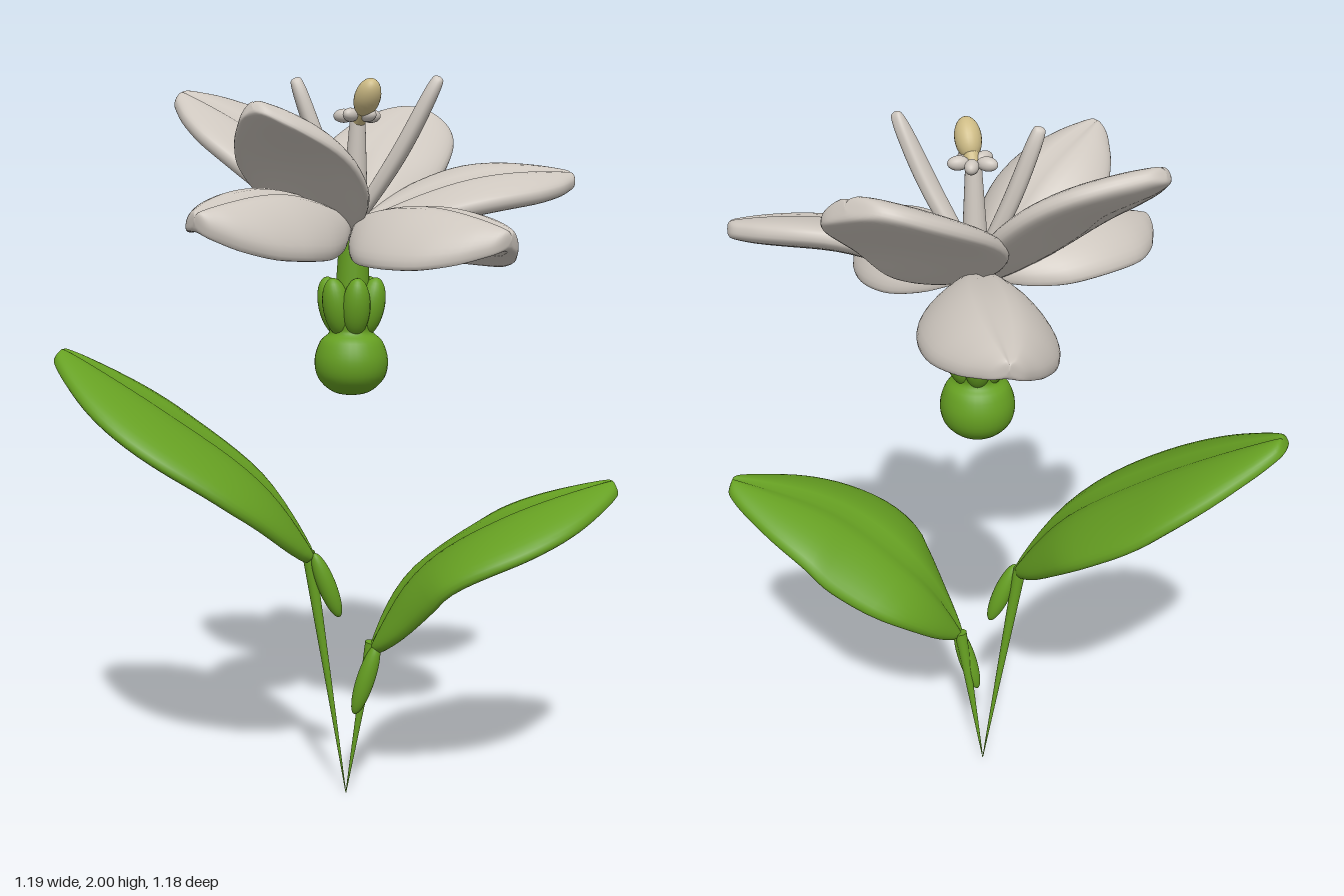
import * as THREE from 'three';

const V = (x, y, z) => new THREE.Vector3(x, y, z);
const UP = V(0, 1, 0);

// Closed, pillowy blade swept along a path; cup bends the edges up or down, groove cuts the midrib
function bladeGeometry(points, { width, thick, cup = 0, roll = 0, groove = 0.5, profile }) {
  const path = new THREE.CatmullRomCurve3(points);
  const shape = new THREE.SplineCurve(profile.map(([u, w]) => new THREE.Vector2(u, w)));
  const rows = 36, cols = 40, pos = [], idx = [];
  for (let i = 0; i <= rows; i++) {
    const { x: u, y: raw } = shape.getPoint(i / rows);
    const k = Math.max(raw, 0), c = THREE.MathUtils.clamp(u, 0, 1);
    const p = path.getPointAt(c), t = path.getTangentAt(c);
    const side = t.clone().cross(UP).normalize().applyAxisAngle(t, roll);
    const up = side.clone().cross(t);
    for (let j = 0; j < cols; j++) {
      const a = (j / cols) * Math.PI * 2, s = Math.cos(a), h = Math.sin(a);
      const dent = h > 0 ? 1 - groove * Math.exp(-((s / 0.13) ** 2)) : 1;
      const full = Math.sign(h) * Math.abs(h) ** 0.75;
      const y = full * dent * thick * k ** 0.4 + cup * s * s * k;
      const v = p.clone().addScaledVector(side, s * width * k).addScaledVector(up, y);
      pos.push(v.x, v.y, v.z);
    }
  }
  for (let i = 0; i < rows; i++) for (let j = 0; j < cols; j++) {
    const a = i * cols + j, b = i * cols + (j + 1) % cols;
    idx.push(a, a + cols, b, b, a + cols, b + cols);
  }
  const g = new THREE.BufferGeometry();
  g.setAttribute('position', new THREE.Float32BufferAttribute(pos, 3));
  g.setIndex(idx);
  g.computeVertexNormals();
  return g;
}

export function createModel() {
  const model = new THREE.Group();
  model.name = 'flower';
  const mat = (name, color) => Object.assign(new THREE.MeshStandardMaterial({ color }), { name });
  const white = mat('petal white', 0xcdc6be);
  const green = mat('leaf green', 0x66a022);
  const cream = mat('stigma cream', 0xcdbb85);

  const add = (name, geometry, material) => {
    const m = new THREE.Mesh(geometry, material);
    m.name = name;
    model.add(m);
    return m;
  };
  // Cylinder or cone between two points
  const rod = (name, a, b, ra, rb, material) => {
    const m = add(name, new THREE.CylinderGeometry(rb, ra, a.distanceTo(b), 20), material);
    m.position.copy(a).lerp(b, 0.5);
    m.quaternion.setFromUnitVectors(UP, b.clone().sub(a).normalize());
  };
  // Ellipsoid stretched between two points
  const bead = (name, a, b, r, material) => {
    const m = add(name, new THREE.SphereGeometry(1, 24, 16), material);
    m.scale.set(r, a.distanceTo(b) / 2, r);
    m.position.copy(a).lerp(b, 0.5);
    m.quaternion.setFromUnitVectors(UP, b.clone().sub(a).normalize());
  };

  // Petals: middle, tip, half width, half thickness, cup, roll, outline
  const pointed = [[0, 0], [0.01, 0.14], [0.05, 0.3], [0.15, 0.62], [0.3, 0.9], [0.5, 1],
    [0.7, 0.91], [0.85, 0.65], [0.94, 0.38], [0.985, 0.2], [1, 0]];
  const blunt = [[0, 0], [0.01, 0.14], [0.05, 0.32], [0.15, 0.68], [0.3, 0.94], [0.5, 1],
    [0.7, 0.96], [0.85, 0.83], [0.94, 0.65], [0.985, 0.42], [1, 0]];
  const petals = [
    ['rightLowerPetal', V(0.33, 1.625, -0.025), V(0.59, 1.585, -0.03), 0.185, 0.048, -0.1, 0, pointed],
    ['frontLowerPetal', V(0.055, 1.66, 0.26), V(0.08, 1.63, 0.53), 0.165, 0.05, -0.08, -0.25, pointed],
    ['leftLowerPetal', V(-0.245, 1.65, -0.145), V(-0.5, 1.64, -0.25), 0.17, 0.048, -0.08, -0.12, pointed],
    ['backLowerPetal', V(0.22, 1.71, -0.29), V(0.34, 1.74, -0.565), 0.16, 0.042, 0, 0.28, pointed],
    ['backUpperPetal', V(-0.07, 1.79, -0.23), V(-0.12, 1.925, -0.45), 0.17, 0.04, -0.02, 0.38, blunt],
    ['leftUpperPetal', V(-0.175, 1.82, 0.11), V(-0.38, 1.96, 0.235), 0.175, 0.04, 0, -0.32, pointed],
    ['frontUpperPetal', V(0.1, 1.8, 0.2), V(0.155, 1.9, 0.41), 0.155, 0.036, -0.06, 0.13, pointed],
  ];
  for (const [name, mid, tip, width, thick, cup, roll, profile] of petals) {
    const base = V(0.04, 1.61, -0.02).lerp(V(tip.x, 1.61, tip.z), 0.04);
    add(name, bladeGeometry([base, mid, tip], { width, thick, cup, roll, groove: 0.35, profile }), white);
  }

  // Pistil, ring of anthers and stigma
  rod('style', V(0.034, 1.58, -0.03), V(0.06, 1.9, -0.02), 0.04, 0.02, white);
  for (let i = 0; i < 5; i++) {
    const a = (i / 5) * Math.PI * 2, d = V(Math.cos(a), 0, Math.sin(a));
    const c = V(0.06, 1.9, -0.02);
    bead('anther', c.clone().addScaledVector(d, 0.01), c.clone().addScaledVector(d, 0.065), 0.018, white);
  }
  rod('stigmaNeck', V(0.06, 1.88, -0.02), V(0.11, 1.94, -0.005), 0.018, 0.022, cream);
  bead('stigma', V(0.08, 1.9, -0.015), V(0.145, 1.985, 0.005), 0.034, cream);

  // Two curved stamens
  for (const tip of [V(0.24, 1.995, -0.14), V(-0.04, 1.995, 0.11)]) {
    const foot = V(0.045, 1.62, -0.02), mid = foot.clone().lerp(tip, 0.55);
    mid.y -= 0.02;
    add('stamen', bladeGeometry([foot, mid, tip], {
      width: 0.028, thick: 0.022, groove: 0,
      profile: [[0, 0], [0.04, 0.5], [0.3, 0.9], [0.6, 1], [0.85, 0.8], [0.97, 0.45], [1, 0]],
    }), white);
  }

  // Flower stalk, calyx lobes and ovary
  rod('stalk', V(0.02, 1.28, -0.035), V(0.035, 1.6, -0.03), 0.055, 0.038, green);
  for (let i = 0; i < 6; i++) {
    const a = (i / 6) * Math.PI * 2 + 0.5, d = V(Math.cos(a), 0, Math.sin(a));
    const c = V(0.02, 0, -0.035);
    bead('calyxLobe', c.clone().addScaledVector(d, 0.035).setY(1.32),
      c.clone().addScaledVector(d, 0.072).setY(1.478), 0.038, green);
  }
  const ovary = new THREE.LatheGeometry(new THREE.SplineCurve([[0, 1.158], [0.05, 1.168], [0.09, 1.205],
    [0.1, 1.255], [0.085, 1.305], [0.06, 1.33], [0.06, 1.36], [0.04, 1.39], [0, 1.4]]
    .map(([r, y]) => new THREE.Vector2(r, y))).getPoints(32).map(p => p.setX(Math.max(p.x, 0))), 32);
  add('ovary', ovary, green).position.set(0.02, 0, -0.035);

  // Leaves with tapering stalks and small stipules
  const leafProfile = [[0, 0], [0.015, 0.14], [0.12, 0.48], [0.28, 0.83], [0.44, 0.98], [0.57, 1],
    [0.69, 0.91], [0.8, 0.73], [0.91, 0.45], [0.97, 0.26], [0.995, 0.14], [1, 0]];
  const root = V(0, 0, -0.035);
  const leaves = [
    ['Left', [V(-0.04, 0.7, 0.06), V(-0.15, 0.9, 0.175), V(-0.325, 1.075, 0.335), V(-0.57, 1.265, 0.52)],
      V(0, 0.53, -0.01), 0.245],
    ['Right', [V(0.08, 0.44, -0.07), V(0.165, 0.64, -0.175), V(0.325, 0.79, -0.32), V(0.51, 0.905, -0.575)],
      V(0.04, 0.25, -0.03), 0.225],
  ];
  for (const [side, pts, low, width] of leaves) {
    add('leaf' + side, bladeGeometry(pts,
      { width, thick: 0.042, cup: -0.04, groove: 0.35, profile: leafProfile }), green);
    const top = pts[0].clone();
    top.y += 0.02;
    rod('leafStalk' + side, root, top.clone().add(V(-0.012, 0, 0)), 0.001, 0.018, green);
    bead('stipule' + side, low, top.clone().add(V(0.012, 0, 0)), 0.026, green);
  }
  return model;
}
